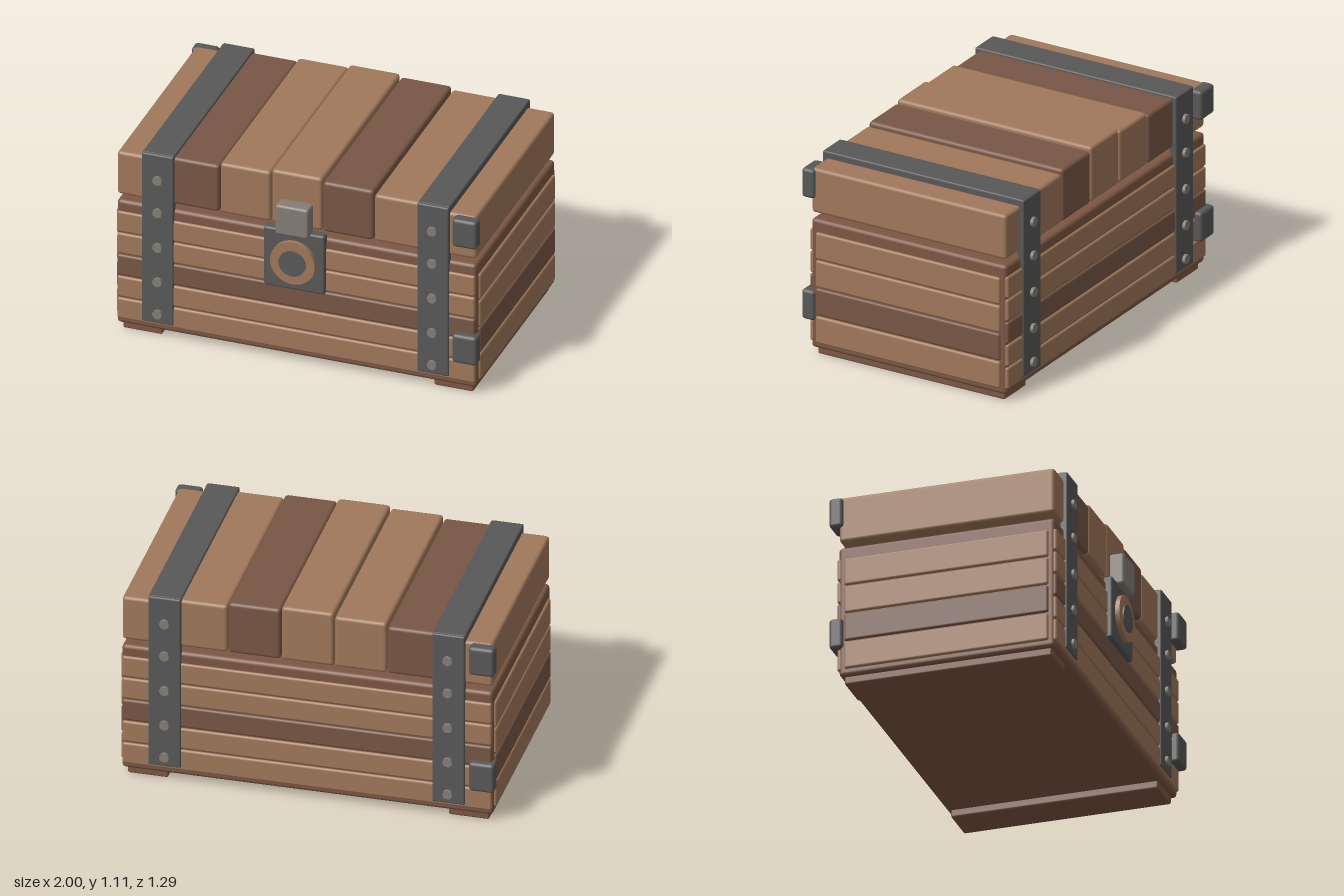
import * as THREE from 'three';
import { RoundedBoxGeometry } from 'three/addons/geometries/RoundedBoxGeometry.js';

const mat = (name, color) => {
  const m = new THREE.MeshStandardMaterial({ color });
  m.name = name;
  return m;
};

export function createModel() {
  const chest = new THREE.Group();
  chest.name = 'chest';

  const lightWood = mat('light wood', 0xa0785a);
  const darkWood = mat('dark wood', 0x785645);
  const frameWood = mat('frame wood', 0x7d5743);
  const iron = mat('dark iron', 0x585858);
  const steel = mat('pale steel', 0x857e76);

  // Softly bevelled box given by its limits on each axis
  const block = (name, material, [x0, x1], [y0, y1], [z0, z1], radius = 0.012) => {
    const geo = new RoundedBoxGeometry(x1 - x0, y1 - y0, z1 - z0, 2, radius);
    const mesh = new THREE.Mesh(geo, material);
    mesh.position.set((x0 + x1) / 2, (y0 + y1) / 2, (z0 + z1) / 2);
    mesh.name = name;
    chest.add(mesh);
  };

  // Cylinder lying along z between two depths
  const disc = (name, material, r, x, y, z0, z1, sides) => {
    const geo = new THREE.CylinderGeometry(r, r, z1 - z0, sides).rotateX(Math.PI / 2);
    const mesh = new THREE.Mesh(geo, material);
    mesh.position.set(x, y, (z0 + z1) / 2);
    mesh.name = name;
    chest.add(mesh);
  };

  // Body core and the two runners under it
  block('bodyCore', frameWood, [-0.982, 0.982], [0.045, 0.77], [-0.597, 0.572], 0.02);
  for (const s of [-1, 1]) {
    block('foot', frameWood, [s * 0.85 - 0.107, s * 0.85 + 0.107], [0.005, 0.07], [-0.574, 0.547], 0.01);
  }

  // Five planks on the front and back
  for (let i = 0; i < 5; i++) {
    const y = 0.078 + i * 0.1275;
    const wood = i === 2 ? darkWood : lightWood;
    block('frontPlank', wood, [-0.978, 0.978], [y, y + 0.121], [0.545, 0.583]);
    block('backPlank', wood, [-0.978, 0.978], [y, y + 0.121], [-0.608, -0.57]);
  }

  // Four planks on each end
  for (let i = 0; i < 4; i++) {
    const y = 0.08 + i * 0.157;
    const wood = i === 1 ? darkWood : lightWood;
    for (const s of [-1, 1]) {
      block('endPlank', wood, [s * 0.975 - 0.02, s * 0.975 + 0.02], [y, y + 0.15], [-0.565, 0.54]);
    }
  }

  // Lid planks, rising in steps to the middle
  const lidWood = [lightWood, darkWood, lightWood, lightWood, darkWood, lightWood, lightWood];
  const lidTop = [1.113, 1.096, 1.077, 1.053];
  lidWood.forEach((wood, i) => {
    const x = (i - 3) * 0.281;
    block('lidPlank', wood, [x - 0.138, x + 0.138], [0.803, lidTop[Math.abs(i - 3)]], [-0.595, 0.57], 0.018);
  });

  // Iron straps over front, top and back, with rivets
  for (const s of [-1, 1]) {
    const across = [s * 0.752 - 0.086, s * 0.752 + 0.086];
    block('frontStrap', iron, across, [0.095, 1.088], [0.55, 0.592], 0.008);
    block('backStrap', iron, across, [0.095, 1.088], [-0.616, -0.575], 0.008);
    block('topStrap', iron, across, [1.045, 1.09], [-0.606, 0.58], 0.008);
    for (const y of [0.152, 0.342, 0.545, 0.75, 0.94]) {
      disc('frontRivet', steel, 0.026, s * 0.75, y, 0.575, 0.606, 12);
      disc('backRivet', steel, 0.026, s * 0.75, y, -0.632, -0.6, 12);
    }
  }

  // Corner brackets on two opposite corners
  for (const y of [[0.2, 0.367], [0.885, 1.048]]) {
    block('frontBracket', iron, [0.865, 1], y, [0.545, 0.62], 0.018);
    block('backBracket', iron, [-1, -0.865], y, [-0.645, -0.57], 0.018);
  }

  // Lock plate, ring, keyhole boss and hasp
  block('lockPlate', iron, [-0.166, 0.166], [0.45, 0.795], [0.555, 0.608], 0.012);
  disc('lockRing', lightWood, 0.123, 0, 0.62, 0.6, 0.632, 32);
  disc('lockBoss', iron, 0.073, 0, 0.62, 0.6, 0.64, 32);
  block('hasp', steel, [-0.09, 0.09], [0.782, 0.955], [0.56, 0.645], 0.014);

  return chest;
}
